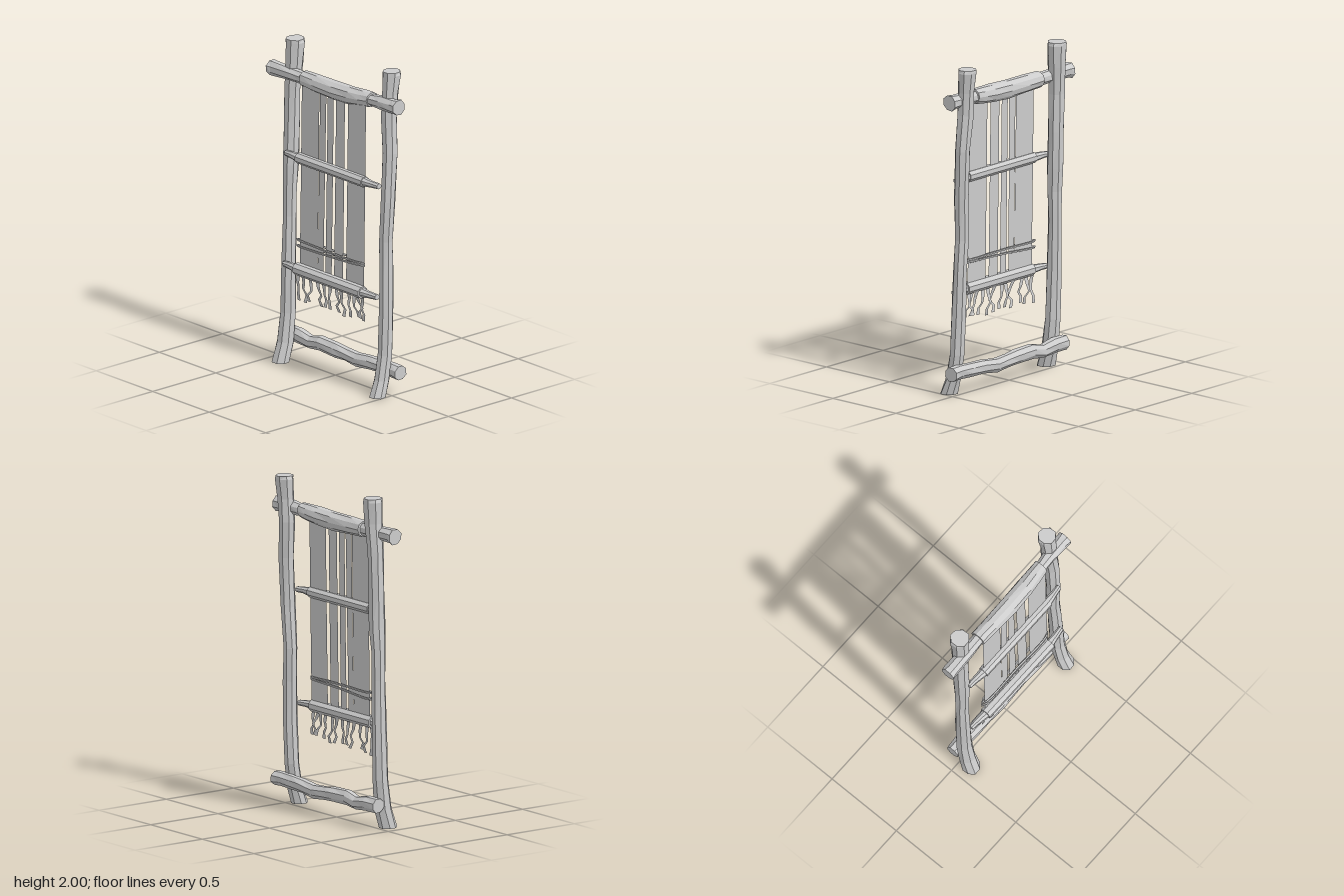
import * as THREE from 'three';

const material = new THREE.MeshStandardMaterial({ color: 0xcccccc, flatShading: true, side: THREE.DoubleSide });
material.name = 'pale grey';

// Faceted pole through sections [x, y, z, radius], running along 'x' or 'y'; wobble makes it look hand cut
function pole(name, axis, sections, wobble = 0, sides = 8) {
  const pos = [], idx = [];
  sections.forEach(([x, y, z, r], i) => {
    for (let j = 0; j < sides; j++) {
      const a = ((j + 0.5) / sides) * Math.PI * 2;
      const k = r * (1 + wobble * Math.sin(i * 2.3 + j * 1.9));
      const c = Math.cos(a) * k, s = Math.sin(a) * k;
      if (axis === 'y') pos.push(x + s, y, z + c);
      else pos.push(x, y + c, z + s);
    }
  });
  const last = (sections.length - 1) * sides;
  for (let i = 0; i < last; i += sides) {
    for (let j = 0; j < sides; j++) {
      const a = i + j, b = i + ((j + 1) % sides);
      idx.push(a, b, b + sides, a, b + sides, a + sides);
    }
  }
  for (let j = 1; j < sides - 1; j++) {
    idx.push(0, j + 1, j, last, last + j, last + j + 1);
  }
  return mesh(name, pos, idx);
}

function mesh(name, pos, idx) {
  const g = new THREE.BufferGeometry();
  g.setAttribute('position', new THREE.Float32BufferAttribute(pos, 3));
  g.setIndex(idx);
  g.computeVertexNormals();
  const m = new THREE.Mesh(g, material);
  m.name = name;
  return m;
}

// Flat ribbon facing the front through rows [xLeft, xRight, y, z], from the top down
function ribbon(name, rows) {
  const pos = [], idx = [];
  rows.forEach(([x0, x1, y, z], i) => {
    pos.push(x0, y, z, x1, y, z);
    const a = i * 2;
    if (i) idx.push(a - 2, a, a + 1, a - 2, a + 1, a - 1);
  });
  return mesh(name, pos, idx);
}

export function createModel() {
  const model = new THREE.Group();
  model.name = 'loom';

  // Upright posts, kicked forward at the foot
  model.add(pole('rightPost', 'y', [
    [-0.405, 0, 0.07, 0.056], [-0.402, 0.12, 0.035, 0.052], [-0.403, 0.3, 0.015, 0.049],
    [-0.405, 0.6, 0.006, 0.045], [-0.405, 0.9, 0.0, 0.042], [-0.403, 1.08, 0.0, 0.045],
    [-0.4, 1.22, -0.006, 0.049], [-0.4, 1.45, -0.012, 0.05], [-0.4, 1.68, -0.018, 0.05],
    [-0.392, 1.85, -0.026, 0.054], [-0.39, 1.98, -0.03, 0.061], [-0.39, 2, -0.03, 0.057],
  ], 0.05));
  model.add(pole('leftPost', 'y', [
    [0.453, 0, 0.07, 0.052], [0.45, 0.1, 0.035, 0.046], [0.448, 0.25, 0.01, 0.046],
    [0.447, 0.5, -0.002, 0.044], [0.442, 0.75, -0.008, 0.043], [0.432, 0.95, -0.013, 0.043],
    [0.444, 1.2, -0.02, 0.044], [0.447, 1.5, -0.032, 0.047], [0.43, 1.72, -0.04, 0.05],
    [0.432, 1.86, -0.047, 0.049], [0.433, 1.98, -0.058, 0.058], [0.433, 2, -0.058, 0.054],
  ], 0.05));

  // Top beam and lower crossbar
  model.add(pole('topBeam', 'x', [
    [-0.55, 1.785, 0.013, 0.048], [-0.52, 1.787, 0.013, 0.045], [-0.36, 1.788, 0.008, 0.041],
    [-0.26, 1.785, 0.004, 0.039], [0, 1.785, 0, 0.038], [0.32, 1.8, -0.006, 0.037],
    [0.4, 1.803, -0.012, 0.042], [0.5, 1.806, -0.014, 0.044], [0.545, 1.807, -0.015, 0.049],
  ], 0.06));
  model.add(pole('lowerBar', 'x', [
    [-0.45, 0.15, -0.035, 0.044], [-0.35, 0.148, -0.037, 0.046], [-0.25, 0.135, -0.036, 0.042],
    [-0.16, 0.15, -0.032, 0.044], [-0.02, 0.145, -0.032, 0.046], [0.06, 0.14, -0.034, 0.042],
    [0.16, 0.13, -0.036, 0.042], [0.28, 0.145, -0.034, 0.044], [0.38, 0.148, -0.03, 0.043],
    [0.48, 0.15, -0.028, 0.043], [0.545, 0.148, -0.028, 0.047],
  ], 0.06));

  // Cloth rolled around the top beam
  model.add(pole('clothRoll', 'x', [
    [-0.265, 1.787, 0.004, 0.05], [-0.15, 1.785, 0.006, 0.053], [0.02, 1.783, 0.006, 0.057],
    [0.16, 1.788, 0.004, 0.056], [0.25, 1.795, -0.002, 0.051], [0.318, 1.802, -0.006, 0.046],
  ], 0.03, 10));

  // Heddle rod and cloth rod: a thick middle with whittled ends
  for (const [name, y, z, r] of [['heddleRod', 1.3, 0.05, 0.034], ['clothRod', 0.612, 0.066, 0.038]]) {
    model.add(pole(name, 'x', [[-0.27, y, z, r], [0.315, y, z, r]], 0, 8));
    model.add(pole(name + 'Core', 'x', [
      [-0.39, y - 0.002, z - 0.008, 0.017], [-0.35, y, z - 0.006, 0.02], [-0.27, y, z, 0.028],
      [0.315, y, z, 0.028], [0.37, y, z - 0.004, 0.021], [0.43, y - 0.002, z - 0.012, 0.018],
    ], 0.05));
  }

  // Hanging warp strips: [left, right] at the top and at the bottom
  const strips = [
    [-0.257, -0.128, -0.257, -0.115], [-0.128, -0.102, -0.115, -0.1],
    [-0.095, -0.04, -0.1, -0.05], [-0.028, 0.025, -0.03, 0.024],
    [0.046, 0.124, 0.046, 0.124], [0.152, 0.205, 0.152, 0.2], [0.205, 0.31, 0.2, 0.31],
  ];
  for (const [a, b, c, d] of strips) {
    model.add(ribbon('warpStrip', [
      [a, b, 1.77, 0.035], [(a + c) / 2, (b + d) / 2, 1.25, 0.042], [c, d, 0.6, 0.052],
    ]));
  }

  // Twine loops wound around the strips
  for (const [yl, yr] of [[0.79, 0.788], [0.752, 0.775]]) {
    const ym = (yl + yr) / 2;
    const loop = new THREE.CatmullRomCurve3([
      [-0.283, yl, 0.05], [-0.25, yl + 0.002, 0.064], [0.02, ym - 0.004, 0.062], [0.28, yr, 0.064],
      [0.313, yr, 0.05], [0.28, yr + 0.002, 0.036], [0.02, ym + 0.004, 0.038], [-0.25, yl, 0.036],
    ].map(p => new THREE.Vector3(...p)), true);
    const twine = new THREE.Mesh(new THREE.TubeGeometry(loop, 40, 0.007, 5, true), material);
    twine.name = 'twine';
    model.add(twine);
  }

  // Crooked fringe: [x at the top, x at the bottom, sideways kink, bottom height]
  const fringe = [
    [-0.265, -0.268, 0.008, 0.41], [-0.215, -0.2, -0.025, 0.415], [-0.17, -0.165, 0.02, 0.43],
    [-0.1, -0.065, 0.025, 0.42], [-0.035, -0.025, -0.012, 0.43], [0.01, 0.02, -0.01, 0.43],
    [0.065, 0.09, 0.025, 0.425], [0.12, 0.137, -0.02, 0.415], [0.175, 0.205, -0.015, 0.43],
    [0.225, 0.265, -0.012, 0.44], [0.255, 0.285, 0.025, 0.44], [0.295, 0.32, -0.018, 0.435],
  ];
  fringe.forEach(([a, b, k, y], i) => {
    const row = (t, shift, w) => {
      const x = a + (b - a) * t + shift;
      return [x - w, x + w, 0.585 + (y - 0.585) * t, 0.056 + 0.008 * Math.sin(i * 2 + t * 5)];
    };
    model.add(ribbon('fringe', [
      row(0, 0, 0.017), row(0.3, k * 0.4, 0.013), row(0.55, k, 0.009), row(0.75, -k * 0.4, 0.011), row(1, 0, 0.014),
    ]));
  });

  return model;
}
